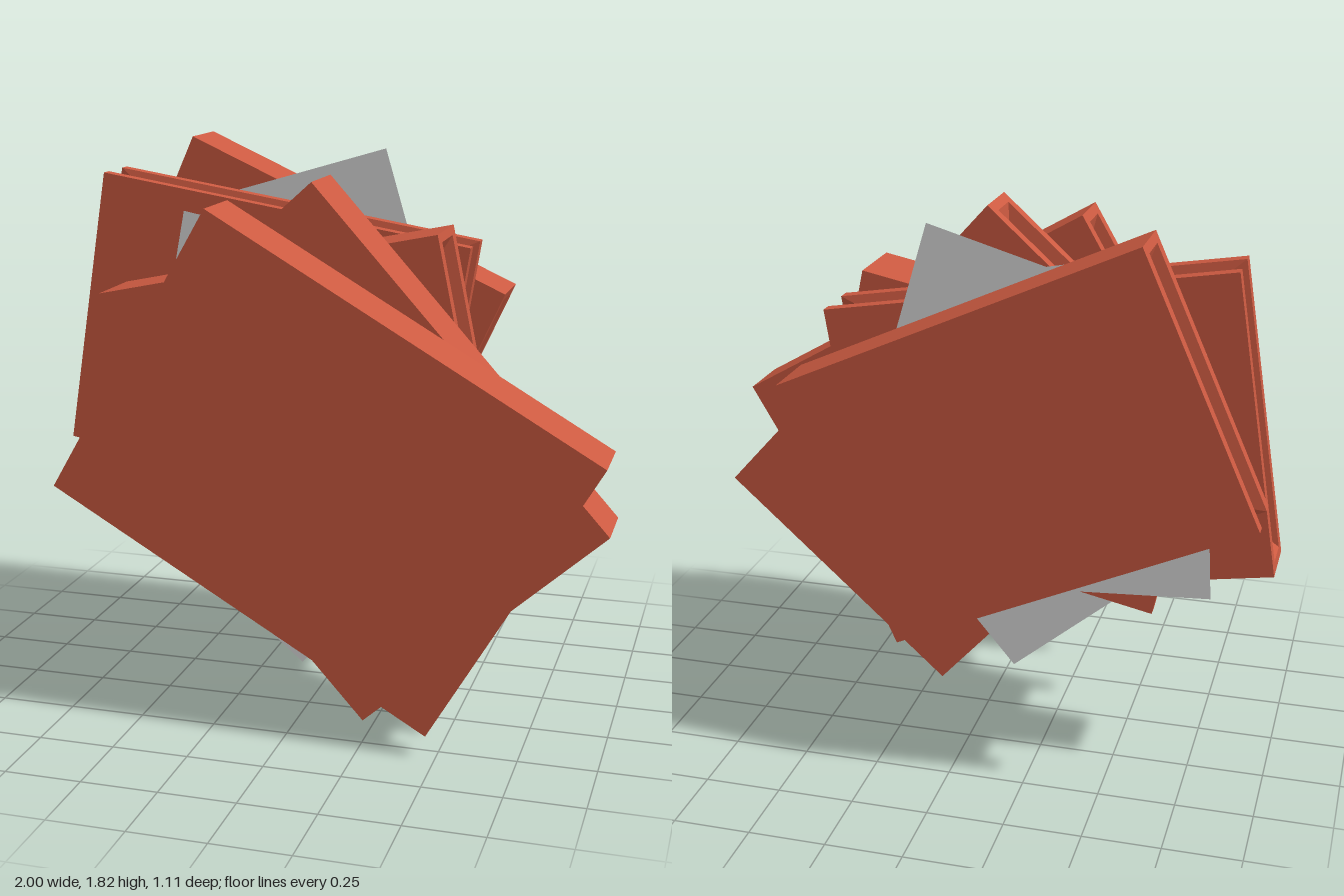
import * as THREE from 'three';
import { ConvexGeometry } from 'three/addons/geometries/ConvexGeometry.js';

const coverRed = new THREE.MeshStandardMaterial({ color: 0xcc5a41 });
coverRed.name = 'coverRed';
coverRed.flatShading = true;
const paperGrey = new THREE.MeshStandardMaterial({ color: 0xdcdcdc, side: THREE.DoubleSide });
paperGrey.name = 'paperGrey';

function addMesh(parent, name, geometry, material) {
  const mesh = new THREE.Mesh(geometry, material);
  mesh.name = name;
  parent.add(mesh);
  return mesh;
}

// One book lying in the xy plane: spine along +y, fore-edge at -y.
function makeBook(scale, thickness) {
  const book = new THREE.Group();
  const w = 0.71 * scale, h = 0.524 * scale, t = thickness / 2;
  const rim = t - 0.043, inner = t - 0.05;
  const pageW = w - 0.058 * scale, pageH = h - 0.035 * scale;
  const spineThin = h - 0.035 * scale, spineThick = h - 0.096 * scale;

  // Covers: slabs that taper towards the rim on the inside
  for (const side of [1, -1]) {
    const points = [];
    for (const sx of [-1, 1]) {
      for (const sy of [-1, 1]) {
        points.push(
          new THREE.Vector3(sx * w, sy * h, side * t),
          new THREE.Vector3(sx * w, sy * h, side * rim),
          new THREE.Vector3(sx * pageW, sy * pageH, side * inner)
        );
      }
    }
    addMesh(book, side > 0 ? 'frontCover' : 'backCover', new ConvexGeometry(points), coverRed);
  }

  // Spine: thicker inside, with slanted ends
  const outline = new THREE.Shape([
    [-w, h], [-w, spineThin], [-pageW, spineThick],
    [pageW, spineThick], [w, spineThin], [w, h],
  ].map(([x, y]) => new THREE.Vector2(x, y)));
  const spine = new THREE.ExtrudeGeometry(outline, { depth: 2 * rim, bevelEnabled: false });
  spine.translate(0, 0, -rim);
  addMesh(book, 'spine', spine, coverRed);

  // Page block
  const pages = new THREE.BoxGeometry(2 * pageW, pageH + spineThick, 2 * inner);
  pages.translate(0, (spineThick - pageH) / 2, 0);
  addMesh(book, 'pages', pages, paperGrey);
  return book;
}

export function createModel() {
  const model = new THREE.Group();
  model.name = 'bookStack';

  // Books: x, y, turn in degrees, scale, back z, front z
  const books = [
    [0.118, 0.889, -30.2, 1, 0.342, 0.555],
    [0.125, 0.885, -48, 1, 0.126, 0.341],
    [-0.102, 1.034, 11.9, 0.835, -0.124, 0.12],
    [-0.278, 1.135, 170.8, 0.922, -0.334, -0.129],
    [-0.222, 1.16, -24.3, 0.868, -0.555, -0.34],
  ];
  books.forEach(([x, y, turn, scale, z0, z1], i) => {
    const book = makeBook(scale, z1 - z0);
    book.name = `book${i + 1}`;
    book.position.set(x, y, (z0 + z1) / 2);
    book.rotation.z = THREE.MathUtils.degToRad(turn);
    model.add(book);
  });

  // Loose sheets between the books: corner x, y, turn, signed width, signed height, z
  const sheets = [
    [-0.06, 0.095, -40, -0.62, 0.85, 0.124],
    [-0.46, 1.63, -11, 0.62, -0.85, 0.122],
    [0.105, 1.805, 16.5, -0.62, -0.85, -0.336],
    [-0.81, 0.665, -3.5, 0.62, 0.8, -0.338],
  ];
  sheets.forEach(([x, y, turn, w, h, z], i) => {
    const geometry = new THREE.PlaneGeometry(Math.abs(w), Math.abs(h));
    geometry.translate(w / 2, h / 2, 0);
    const sheet = addMesh(model, `looseSheet${i + 1}`, geometry, paperGrey);
    sheet.position.set(x, y, z);
    sheet.rotation.z = THREE.MathUtils.degToRad(turn);
  });

  return model;
}
